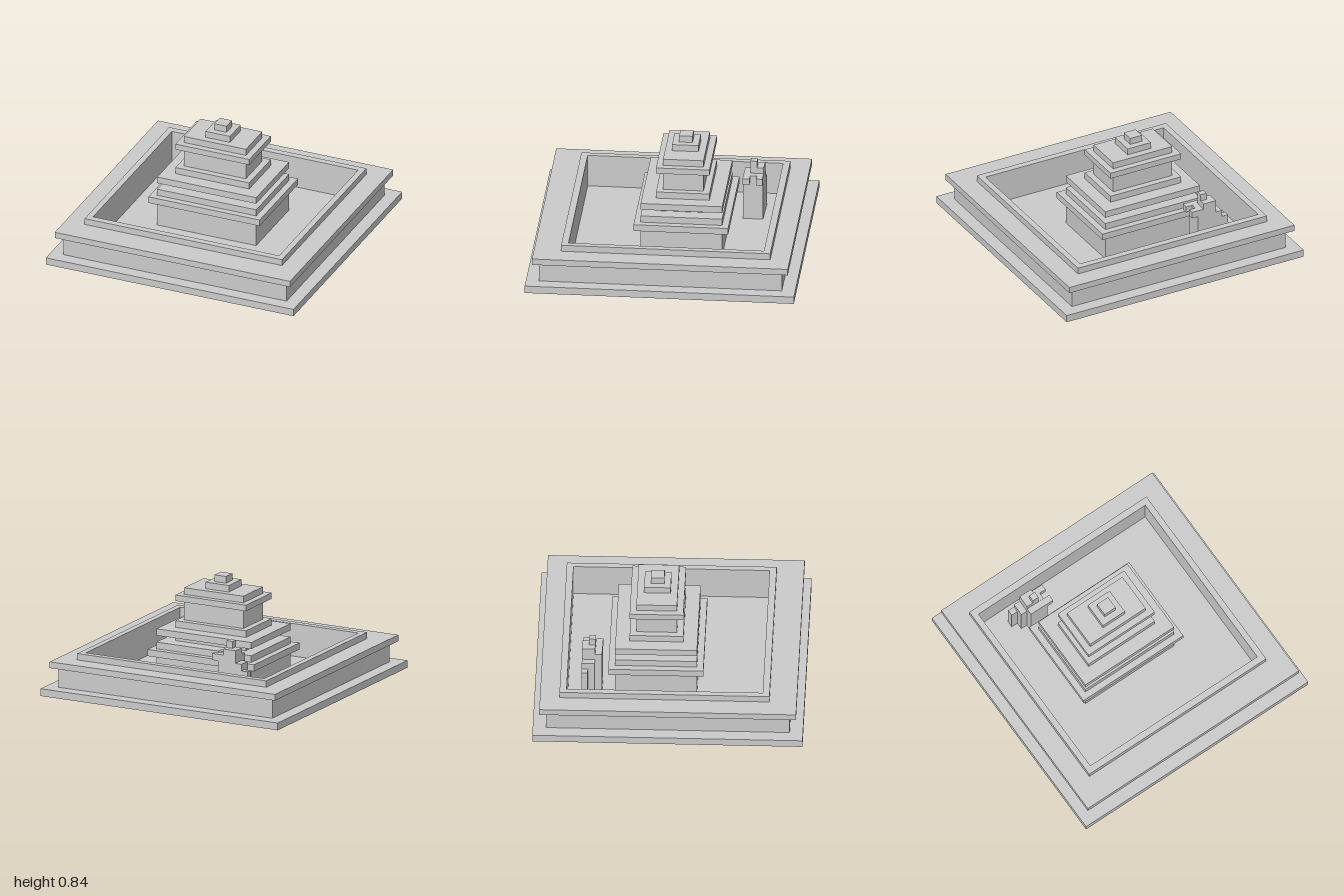
import * as THREE from 'three';

const TURN = 0.0185; // the whole fountain sits slightly turned

export function createModel() {
  const model = new THREE.Group();
  const stone = new THREE.MeshStandardMaterial({ color: 0xcccccc, flatShading: true });

  const addBox = (parent, name, w, d, y0, y1, x = 0, z = 0) => {
    const mesh = new THREE.Mesh(new THREE.BoxGeometry(w, y1 - y0, d), stone);
    mesh.name = name;
    mesh.position.set(x, (y0 + y1) / 2, z);
    parent.add(mesh);
  };

  const addGroup = (name, x, z) => {
    const group = new THREE.Group();
    group.name = name;
    group.position.set(x, 0, z);
    group.rotation.y = TURN;
    model.add(group);
    return group;
  };

  // Counter-clockwise rectangle, so outer and inner walls both face outward
  const corners = (w, d, cz) => [[-1, 1], [1, 1], [1, -1], [-1, -1]]
    .map(([sx, sz]) => new THREE.Vector2(sx * w / 2, -(cz + sz * d / 2)));

  // Basin: solid base slab with stacked square frames around the pool
  const basin = addGroup('basin', 0, 0);
  const addFrame = (name, w, d, cz, y0, y1) => {
    const shape = new THREE.Shape(corners(w, d, cz));
    shape.holes.push(new THREE.Path(corners(1.475, 1.425, -0.028)));
    const geometry = new THREE.ExtrudeGeometry(shape, { depth: y1 - y0, bevelEnabled: false });
    geometry.rotateX(-Math.PI / 2);
    const mesh = new THREE.Mesh(geometry, stone);
    mesh.name = name;
    mesh.position.y = y0;
    basin.add(mesh);
  };
  addBox(basin, 'baseSlab', 1.963, 1.963, 0, 0.055);
  addFrame('basinWall', 1.77, 1.77, 0, 0.055, 0.205);
  addFrame('basinLedge', 1.865, 1.865, 0, 0.205, 0.252);
  addFrame('basinRim', 1.565, 1.525, -0.028, 0.252, 0.3);

  // Tower: stepped tiers as [name, width, depth, bottom, top]
  const tower = addGroup('tower', -0.053, -0.1);
  [
    ['towerFoot', 0.785, 0.595, 0.055, 0.25],
    ['widestStep', 0.882, 0.69, 0.25, 0.3],
    ['lowerStep', 0.785, 0.595, 0.3, 0.35],
    ['lowerNeck', 0.585, 0.39, 0.35, 0.4],
    ['middleStep', 0.785, 0.595, 0.4, 0.45],
    ['upperStep', 0.585, 0.39, 0.45, 0.5],
    ['towerBody', 0.49, 0.295, 0.5, 0.648],
    ['roofLedge', 0.585, 0.39, 0.648, 0.693],
    ['roofSlab', 0.49, 0.295, 0.693, 0.743],
    ['capStep', 0.193, 0.193, 0.743, 0.792],
    ['cap', 0.097, 0.097, 0.792, 0.842],
  ].forEach(([name, w, d, y0, y1]) => addBox(tower, name, w, d, y0, y1));

  // Small blocky statue in the back corner, as [name, x0, x1, z0, z1, y0, y1]
  const statue = new THREE.Group();
  statue.name = 'statue';
  model.add(statue);
  [
    ['statueBody', -0.505, -0.31, -0.63, -0.535, 0.055, 0.35],
    ['statueFootSide', -0.555, -0.505, -0.63, -0.585, 0.055, 0.3],
    ['statueFront', -0.455, -0.31, -0.535, -0.485, 0.055, 0.35],
    ['statueChest', -0.455, -0.31, -0.63, -0.535, 0.35, 0.4],
    ['statueArm', -0.455, -0.26, -0.535, -0.485, 0.35, 0.397],
    ['statueTail', -0.31, -0.26, -0.63, -0.585, 0.35, 0.4],
    ['statueShoulder', -0.455, -0.355, -0.63, -0.535, 0.4, 0.445],
    ['statueHead', -0.405, -0.355, -0.582, -0.533, 0.445, 0.497],
  ].forEach(([name, x0, x1, z0, z1, y0, y1]) =>
    addBox(statue, name, x1 - x0, z1 - z0, y0, y1, (x0 + x1) / 2, (z0 + z1) / 2));

  return model;
}
